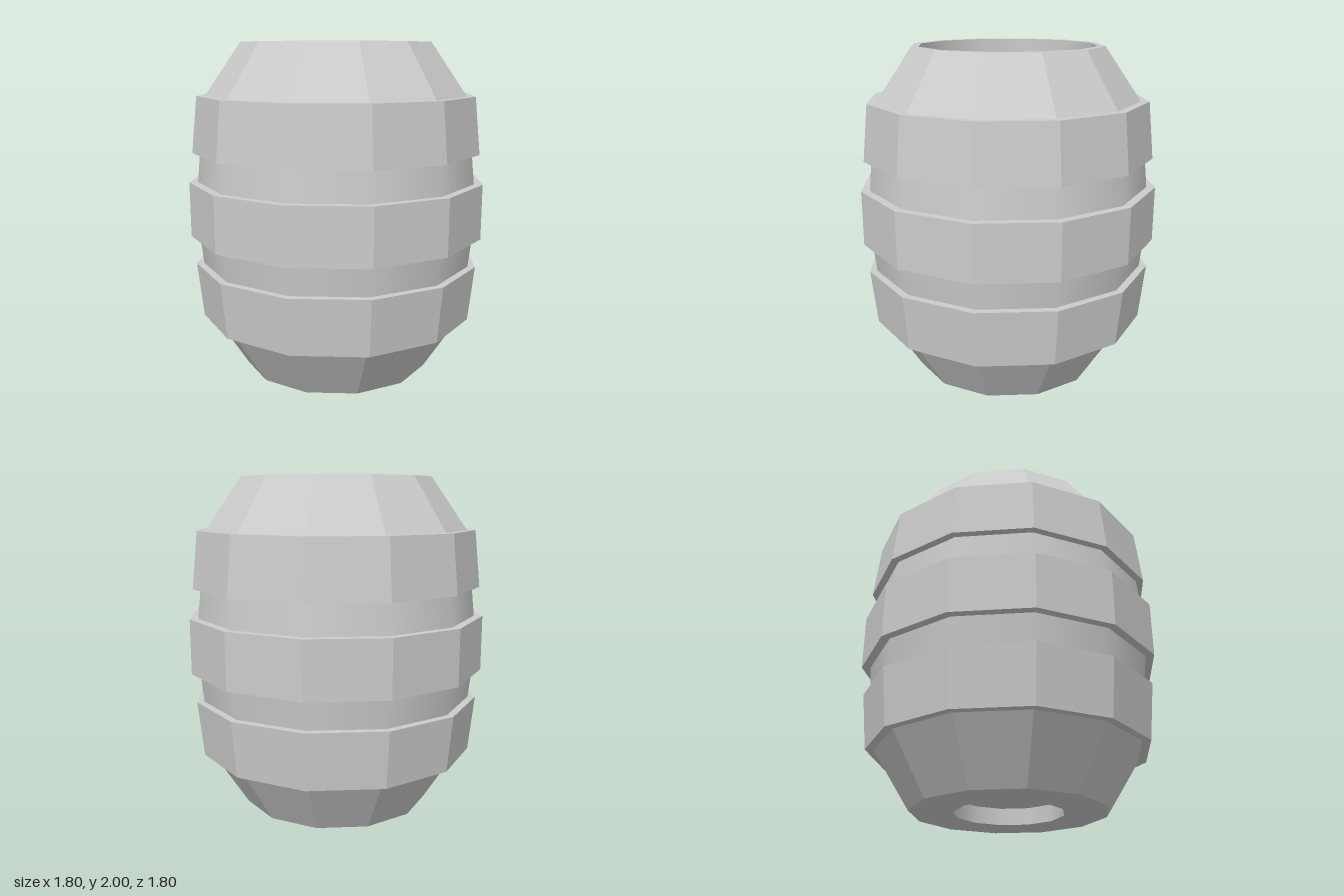
import * as THREE from 'three';

const SIDES = 12;

// Revolves a profile of [radius, height] points into a twelve-sided part
function turned(name, profile, smooth = false) {
  const points = profile.map(([r, y]) => new THREE.Vector2(r, y));
  const material = new THREE.MeshStandardMaterial({ color: 0xcccccc, flatShading: !smooth });
  const mesh = new THREE.Mesh(new THREE.LatheGeometry(points, SIDES), material);
  mesh.name = name;
  return mesh;
}

// Closed hoop: outer wall from bottom to top, with ledges back to the staves
function hoop(name, y0, y1, r0, r1, inner) {
  return turned(name, [[inner, y0], [r0, y0], [r1, y1], [inner, y1]]);
}

export function createModel() {
  const barrel = new THREE.Group();
  barrel.name = 'barrel';

  barrel.add(
    // Base with a shallow round recess underneath
    turned('baseRecessFloor', [[0, 0.1], [0.32, 0.1]]),
    turned('baseRecessWall', [[0.32, 0.1], [0.32, 0]], true),
    turned('lowerStaves', [[0.32, 0], [0.575, 0], [0.79, 0.34]]),

    // Smooth waist between the hoops
    turned('lowerWaist', [[0.83, 0.67], [0.85, 0.86]], true),
    turned('upperWaist', [[0.85, 1.17], [0.83, 1.36]], true),

    // Tapered shoulder, rim and sunken lid
    turned('upperStaves', [[0.79, 1.69], [0.575, 2], [0.53, 2]]),
    turned('rimInnerWall', [[0.53, 2], [0.53, 1.85]], true),
    turned('lid', [[0.53, 1.85], [0, 1.85]]),

    // Three broad hoops
    hoop('lowerHoop', 0.34, 0.675, 0.84, 0.875, 0.78),
    hoop('middleHoop', 0.85, 1.18, 0.9, 0.9, 0.8),
    hoop('upperHoop', 1.355, 1.69, 0.875, 0.84, 0.78)
  );
  return barrel;
}
